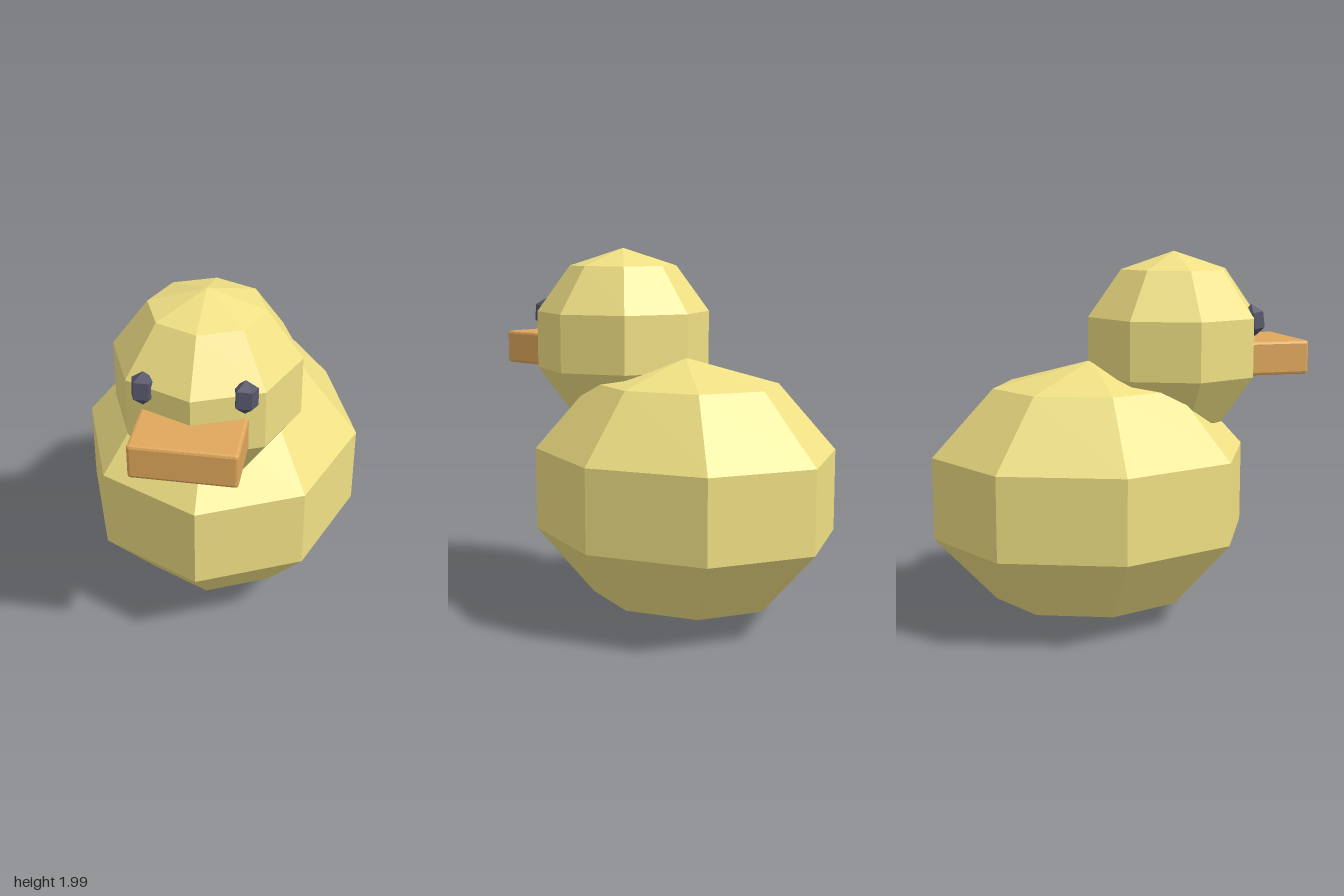
import * as THREE from 'three';
import { RoundedBoxGeometry } from 'three/addons/geometries/RoundedBoxGeometry.js';

export function createModel() {
  const duck = new THREE.Group();
  duck.name = 'duck';
  const flat = (color) => new THREE.MeshStandardMaterial({ color, flatShading: true });
  const yellow = flat(0xf0e084);
  const orange = flat(0xe0a85c);
  const dark = flat(0x56566a);

  const add = (name, geometry, material, x, y, z) => {
    const mesh = new THREE.Mesh(geometry, material);
    mesh.name = name;
    mesh.position.set(x, y, z);
    duck.add(mesh);
    return mesh;
  };

  // Body: eight-sided faceted ellipsoid
  add('body', new THREE.SphereGeometry(1, 8, 5).scale(0.783, 0.71, 0.904), yellow, 0, 0.71, -0.14);

  // Head: faceted ball overlapping the front of the body
  add('head', new THREE.SphereGeometry(0.498, 8, 5), yellow, 0, 1.495, 0.317);

  // Bill: slightly bevelled block
  add('bill', new RoundedBoxGeometry(0.52, 0.18, 0.5, 1, 0.015), orange, 0, 1.43, 0.75);

  // Eyes: small five-sided beads, flat face forward, leaning back a little
  for (const side of [1, -1]) {
    const bead = new THREE.SphereGeometry(1, 5, 3, -Math.PI / 2).scale(0.072, 0.086, 0.066);
    const eye = add(side > 0 ? 'leftEye' : 'rightEye', bead, dark, side * 0.243, 1.635, 0.683);
    eye.rotation.x = -0.13;
  }

  return duck;
}
